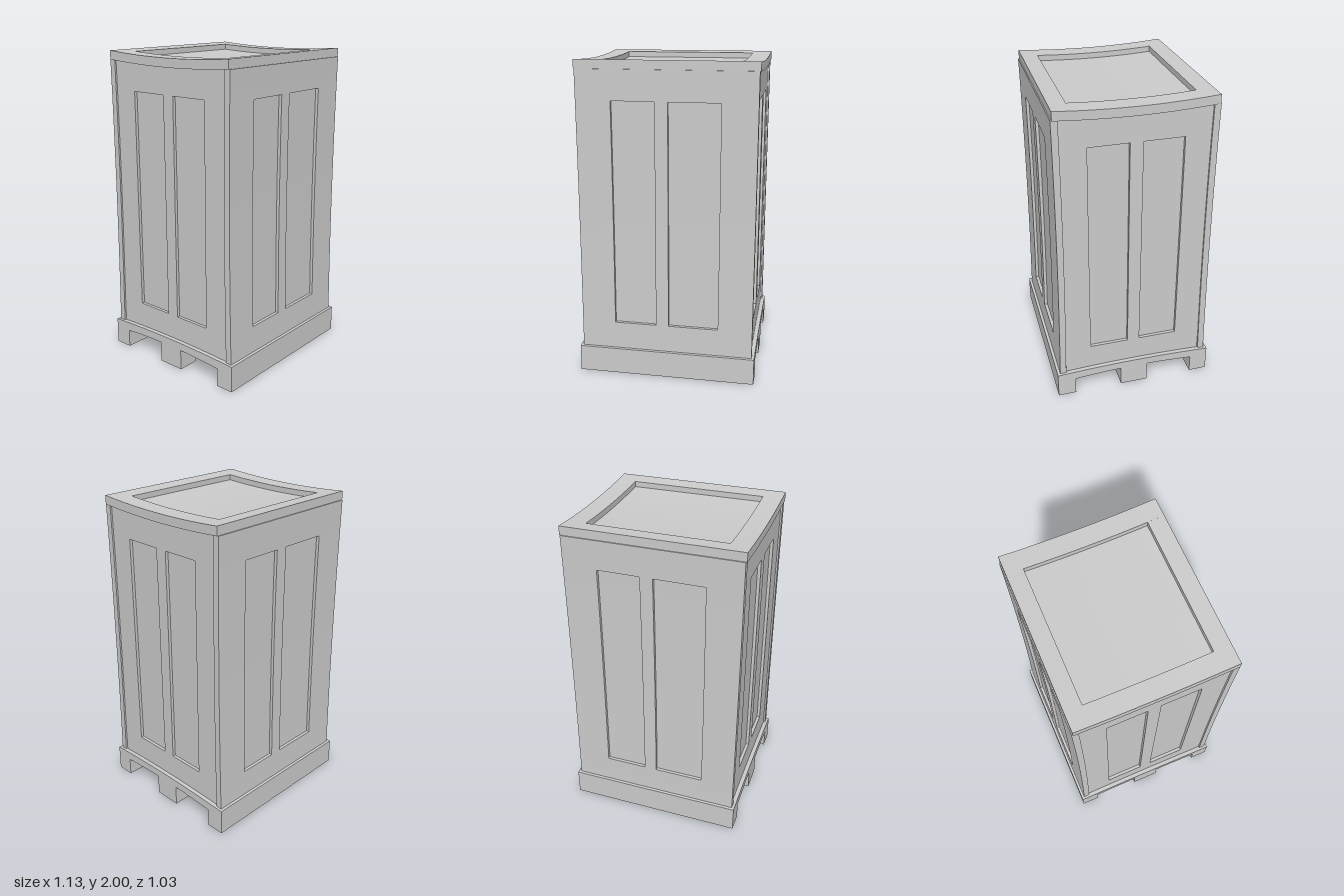
import * as THREE from 'three';
import { toCreasedNormals } from 'three/addons/utils/BufferGeometryUtils.js';

const mat = new THREE.MeshStandardMaterial({ color: 0xcccccc });

function add(parent, name, geo) {
  const m = new THREE.Mesh(geo, mat);
  m.name = name;
  parent.add(m);
  return m;
}

// Points along the curve y = f(z) from z0 to z1
function curve(f, z0, z1, n = 14) {
  return Array.from({ length: n + 1 }, (_, i) => {
    const z = z0 + (z1 - z0) * i / n;
    return new THREE.Vector2(z, f(z));
  });
}

// Profile given in (z, y), extruded from x0 to x1
function extrudeX(points, x0, x1) {
  const geo = new THREE.ExtrudeGeometry(new THREE.Shape(points), { depth: x1 - x0, bevelEnabled: false });
  geo.rotateY(-Math.PI / 2);
  geo.translate(x1, 0, 0);
  return toCreasedNormals(geo, 0.4);
}

const band = (low, high, z0, z1, x0, x1) =>
  extrudeX([...curve(low, z0, z1), ...curve(high, z1, z0)], x0, x1);

// Wall facing +z with two sunken panels; its surface follows z = bow(y)
function makeWall(name, half, panels, y0, y1, bow) {
  const wall = new THREE.Group();
  wall.name = name;
  const low = 0.345, high = 1.76, thick = 0.04, sink = 0.02;
  const slab = (part, xa, xb, ya, yb, front) => {
    const geo = new THREE.BoxGeometry(xb - xa, yb - ya, thick, 1, 16, 1);
    geo.translate((xa + xb) / 2, (ya + yb) / 2, front - thick / 2);
    const p = geo.attributes.position;
    for (let i = 0; i < p.count; i++) p.setZ(i, p.getZ(i) + bow(p.getY(i)));
    geo.computeVertexNormals();
    add(wall, part, geo);
  };
  const edges = [-half, ...panels.flat(), half];
  for (let i = 0; i < edges.length; i += 2) slab('stile', edges[i], edges[i + 1], low, high, 0);
  slab('bottomRail', -half, half, y0, low, 0);
  slab('topRail', -half, half, high, y1, 0);
  for (const [a, b] of panels) slab('sunkenPanel', a, b, low, high, -sink);
  return wall;
}

export function createModel() {
  const model = new THREE.Group();
  model.name = 'cabinet';

  // Base: arched side frames with three feet, joined by front and back rails
  const base = new THREE.Group();
  base.name = 'base';
  model.add(base);
  const Z = 0.517, X = 0.563, inner = 0.42;
  const baseTop = z => 0.185 - 0.015 * (z / Z) ** 2;
  const baseUnder = z => 0.135 - 0.017 * (z / 0.4) ** 2;
  const v = (z, y) => new THREE.Vector2(z, y);
  const frame = [
    v(-Z, 0), v(-0.4, 0), ...curve(baseUnder, -0.4, -0.09, 6), v(-0.09, 0),
    v(0.09, 0), ...curve(baseUnder, 0.09, 0.4, 6), v(0.4, 0), v(Z, 0),
    ...curve(baseTop, Z, -Z),
  ];
  add(base, 'sideFrame', extrudeX(frame, inner, X));
  add(base, 'sideFrame', extrudeX(frame, -X, -inner));
  for (const s of [-1, 1]) {
    const [a, b] = s > 0 ? [0.4, Z] : [-Z, -0.4];
    add(base, 'rail', band(() => 0, baseTop, a, b, -inner, inner));
  }

  // Body: core with bowed front and back walls and flat sides set back between them
  const core = new THREE.BoxGeometry(1.0, 1.765, 0.9);
  core.translate(0, 1.0475, 0);
  add(model, 'core', core);
  const bow = y => 0.484 + 0.0105 * (y - 1.35) ** 2;
  const widePanels = [[-0.33, -0.065], [0.015, 0.33]];
  const sidePanels = [[-0.288, -0.04], [0.04, 0.288]];
  for (const s of [0, 1]) {
    const wall = makeWall(s ? 'backWall' : 'frontWall', 0.546, widePanels, 0.16, 1.945, bow);
    wall.rotation.y = s * Math.PI;
    const side = makeWall(s ? 'rightWall' : 'leftWall', 0.455, sidePanels, 0.165, 1.94, () => 0.535);
    side.rotation.y = s ? -Math.PI / 2 : Math.PI / 2;
    model.add(wall, side);
  }

  // Lid: dished rim around a sunken floor
  const lid = new THREE.Group();
  lid.name = 'lid';
  model.add(lid);
  const L = 0.481, W = 0.552, hx = 0.43, hz = 0.377;
  const dish = y => z => y + 0.02 * (z / L) ** 2;
  const under = dish(1.925), top = dish(1.98);
  add(lid, 'rimSide', band(under, top, -L, L, hx, W));
  add(lid, 'rimSide', band(under, top, -L, L, -W, -hx));
  add(lid, 'rimFront', band(under, top, hz, L, -hx, hx));
  add(lid, 'rimBack', band(under, top, -L, -hz, -hx, hx));
  add(lid, 'lidFloor', band(under, dish(1.945), -hz, hz, -hx, hx));

  return model;
}
